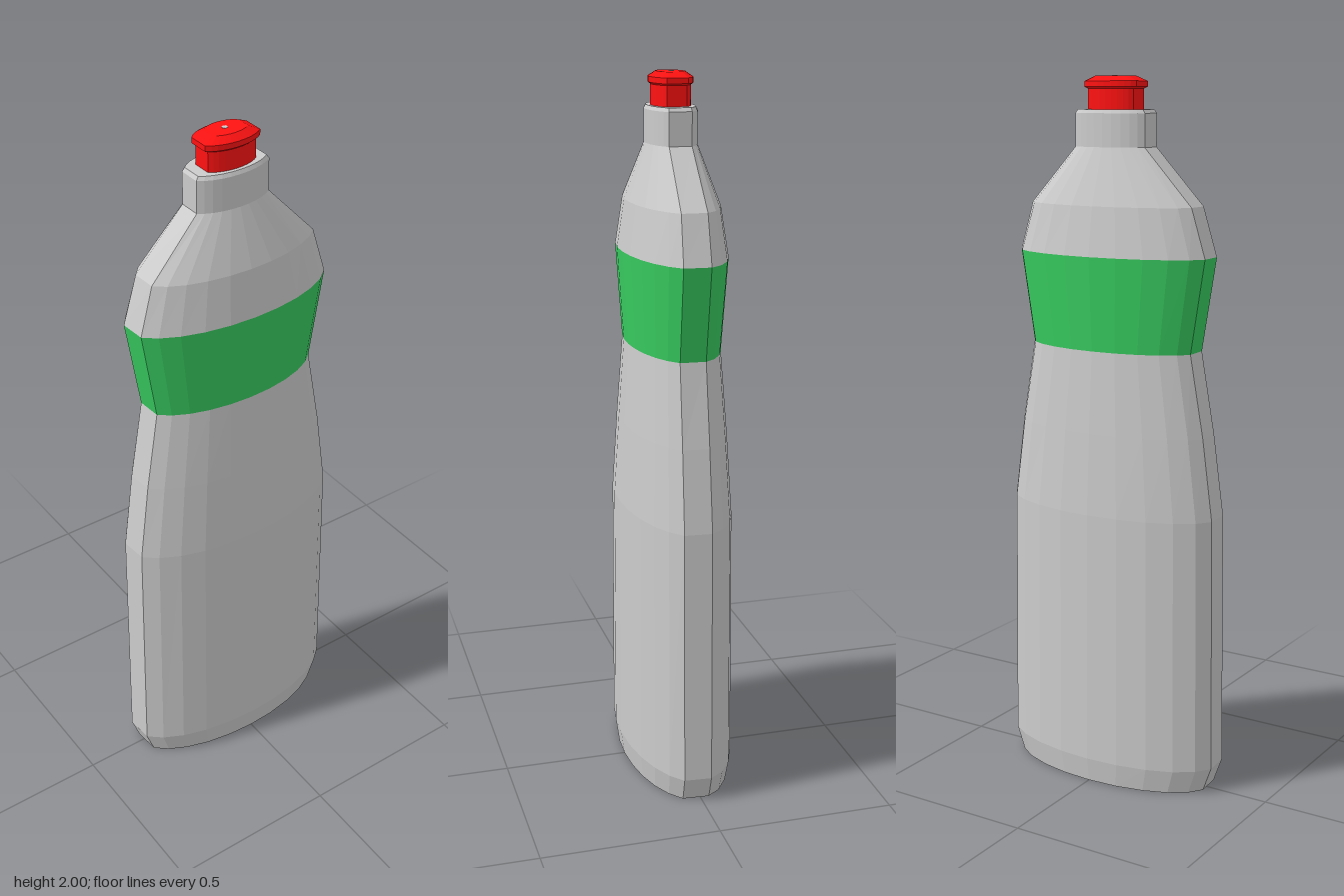
import * as THREE from 'three';

const STEPS = 10; // facets per long side

// Oval cross-section with flattened ends: half width X, half depth Z,
// flat end running from x = -a to x = b (skew pulls in its +x corner).
function ring({ y, X, Z, a, b, skew = 1 }) {
  const pts = [];
  const side = (s, flat, depth) => {
    const t0 = Math.asin(flat / X);
    for (let i = 0; i <= STEPS; i++) {
      const t = t0 + (Math.PI - 2 * t0) * i / STEPS;
      pts.push([s * X * Math.sin(t), y, s * depth * Math.cos(t) / Math.cos(t0)]);
    }
  };
  side(1, b, Z * skew);
  side(-1, a, Z);
  return pts;
}

// Skin between successive rings, with optional end faces
function loft(name, color, rows, closeBottom, closeTop) {
  const rings = rows.map(ring);
  const n = rings[0].length;
  const pos = rings.flat(2);
  const index = [];
  for (let j = 0; j < rings.length - 1; j++) {
    for (let i = 0; i < n; i++) {
      const k = (i + 1) % n;
      const p = j * n + i, q = j * n + k;
      index.push(p, q, q + n, p, q + n, p + n);
    }
  }
  const close = (j, up) => {
    const c = pos.length / 3;
    pos.push(0, rows[j].y, 0);
    for (let i = 0; i < n; i++) {
      const p = j * n + i, q = j * n + (i + 1) % n;
      if (up) index.push(c, p, q);
      else index.push(c, q, p);
    }
  };
  if (closeBottom) close(0, false);
  if (closeTop) close(rings.length - 1, true);
  const g = new THREE.BufferGeometry();
  g.setAttribute('position', new THREE.Float32BufferAttribute(pos, 3));
  g.setIndex(index);
  g.computeVertexNormals();
  const mesh = new THREE.Mesh(g, new THREE.MeshStandardMaterial({ color, flatShading: true }));
  mesh.name = name;
  return mesh;
}

const row = (y, X, Z, a, b, skew) => ({ y, X, Z, a, b, skew });

export function createModel() {
  const group = new THREE.Group();
  group.name = 'squeezeBottle';

  const waist = row(1.26, 0.122, 0.257, 0.026, 0.045, 0.985);
  const chest = row(1.52, 0.137, 0.299, 0.027, 0.048, 0.985);

  // Lower body with bevelled foot, narrowing to the waist
  group.add(loft('lowerBody', 0xcccccc, [
    row(0, 0.144, 0.313, 0.025, 0.05, 0.982),
    row(0.07, 0.153, 0.338, 0.025, 0.052, 0.982),
    row(0.8, 0.15, 0.329, 0.025, 0.052, 0.982),
    row(1.03, 0.137, 0.298, 0.025, 0.049, 0.982),
    waist,
  ], true, false));

  // Coloured band
  group.add(loft('labelBand', 0x38cc60, [waist, chest], false, false));

  // Shoulder and neck
  group.add(loft('shoulderAndNeck', 0xcccccc, [
    chest,
    row(1.655, 0.118, 0.257, 0.028, 0.043, 0.99),
    row(1.81, 0.067, 0.111, 0.028, 0.035),
    row(1.9, 0.067, 0.111, 0.028, 0.035),
    row(1.91, 0.062, 0.104, 0.027, 0.033),
  ], false, true));

  // Push-pull cap: stem, flared lip and domed top
  group.add(loft('cap', 0xff1212, [
    row(1.905, 0.052, 0.073, 0.024, 0.03),
    row(1.965, 0.052, 0.073, 0.024, 0.03),
    row(1.97, 0.058, 0.083, 0.026, 0.033),
    row(1.985, 0.058, 0.083, 0.026, 0.033),
    row(1.999, 0.038, 0.053, 0.018, 0.022),
  ], true, true));

  // Small spout opening
  const spout = new THREE.Mesh(
    new THREE.CylinderGeometry(0.008, 0.008, 0.02, 8),
    new THREE.MeshStandardMaterial({ color: 0xcccccc, flatShading: true }));
  spout.name = 'spout';
  spout.position.set(-0.002, 1.99, 0);
  group.add(spout);

  return group;
}
